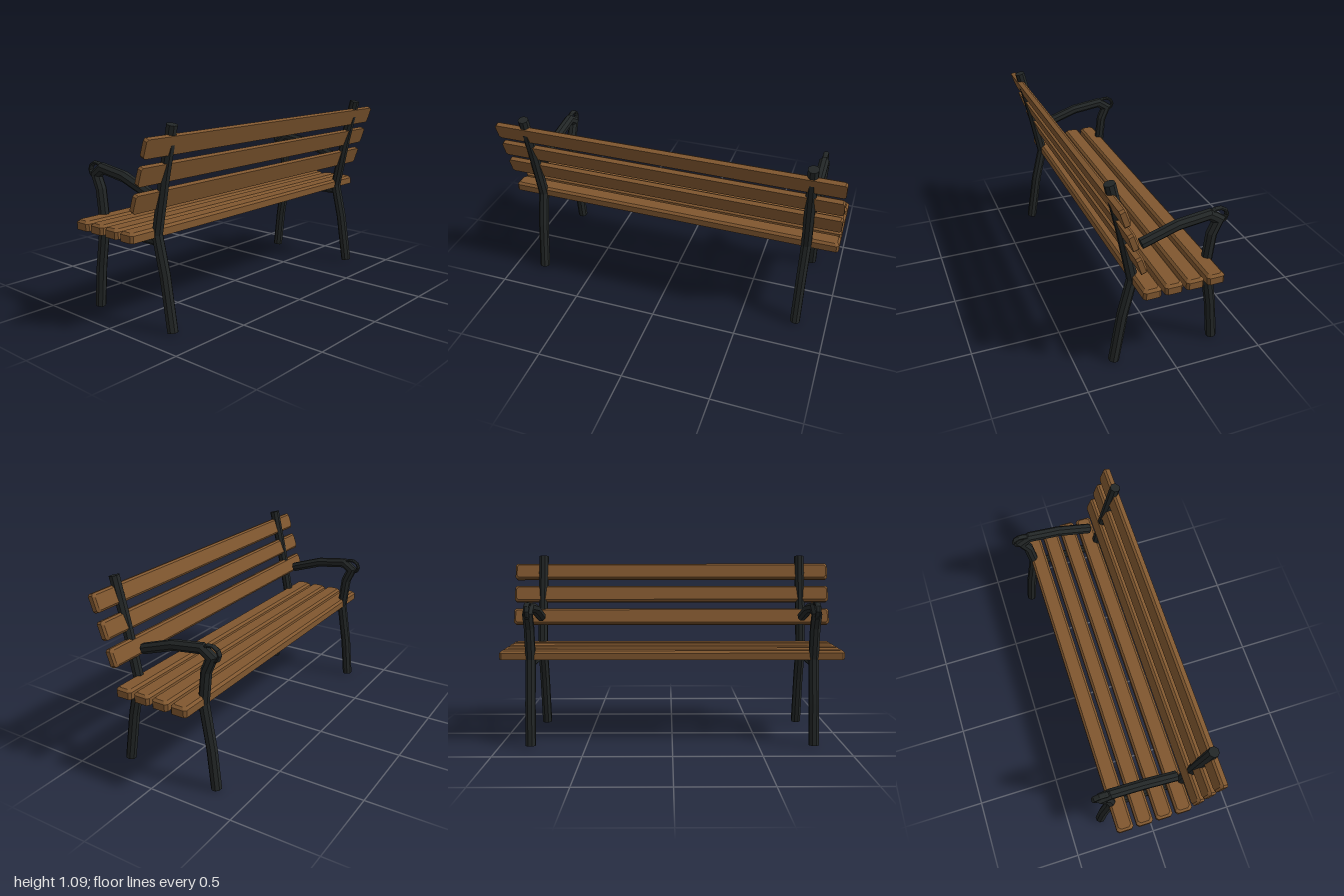
import * as THREE from 'three';

const iron = new THREE.MeshStandardMaterial({ color: 0x222626, flatShading: true });
const wood = new THREE.MeshStandardMaterial({ color: 0x80572f, flatShading: true });

// Faceted solid through equal-length rings (counter-clockwise about the direction of travel), capped
function loft(rings) {
  const pos = [];
  const tri = (...pts) => pts.forEach((p) => pos.push(p.x, p.y, p.z));
  const n = rings[0].length, last = rings[rings.length - 1];
  for (let i = 0; i < rings.length - 1; i++) {
    for (let j = 0; j < n; j++) {
      const k = (j + 1) % n, a = rings[i], b = rings[i + 1];
      tri(a[j], a[k], b[k]);
      tri(a[j], b[k], b[j]);
    }
  }
  for (let j = 1; j < n - 1; j++) {
    tri(rings[0][0], rings[0][j + 1], rings[0][j]);
    tri(last[0], last[j], last[j + 1]);
  }
  const geo = new THREE.BufferGeometry();
  geo.setAttribute('position', new THREE.Float32BufferAttribute(pos, 3));
  geo.computeVertexNormals();
  return geo;
}

// Octagonal bar with mitred joints along [z, y] points; rx across the bench, r in the side plane
function bar(path, rx = 0.028, r = rx) {
  const pts = path.map(([z, y]) => new THREE.Vector3(0, y, z));
  const X = new THREE.Vector3(1, 0, 0);
  const rings = pts.map((p, i) => {
    const before = p.clone().sub(pts[Math.max(i - 1, 0)]).normalize();
    const after = pts[Math.min(i + 1, pts.length - 1)].clone().sub(p).normalize();
    const t = before.clone().add(after).normalize();
    const miter = 1 / Math.max(t.dot(i ? before : after), 0.6);
    const v = t.clone().cross(X);
    return Array.from({ length: 8 }, (_, j) => {
      const a = ((j + 0.5) * Math.PI) / 4, s = 1 / Math.cos(Math.PI / 8);
      return p.clone().addScaledVector(X, Math.cos(a) * rx * s).addScaledVector(v, Math.sin(a) * r * s * miter);
    });
  });
  return loft(rings);
}

// Plank along x with clipped corners and a chamfered upper face, resting on local y = 0
function plank(depth, height, c = 0.013) {
  const outline = (y, inset) => {
    const x = 1 - inset, z = depth / 2 - inset;
    return [[z, -x + c], [z, x - c], [z - c, x], [-z + c, x], [-z, x - c], [-z, -x + c], [-z + c, -x], [z - c, -x]]
      .map(([pz, px]) => new THREE.Vector3(px, y, pz));
  };
  return loft([outline(0, 0), outline(height - c, 0), outline(height, c)]);
}

function add(parent, name, geometry, material) {
  const mesh = new THREE.Mesh(geometry, material);
  mesh.name = name;
  parent.add(mesh);
  return mesh;
}

export function createModel() {
  const bench = new THREE.Group();
  bench.name = 'bench';

  // Iron side frames
  for (const side of [1, -1]) {
    const frame = new THREE.Group();
    frame.name = side > 0 ? 'leftFrame' : 'rightFrame';
    frame.position.x = side * 0.82;
    bench.add(frame);
    add(frame, 'backrestLegAndPost',
      bar([[0.292, 0.009], [0.243, 0.307], [0.192, 0.515], [0.255, 0.83], [0.316, 1.088]]), iron);
    add(frame, 'seatLegAndArmrest',
      bar([[-0.296, 0.009], [-0.272, 0.246], [-0.229, 0.505], [-0.25, 0.69], [-0.285, 0.768],
        [-0.229, 0.807], [-0.05, 0.783], [0.148, 0.716]]), iron);
    add(frame, 'armrestCurl',
      bar([[-0.235, 0.815], [-0.262, 0.83], [-0.295, 0.831], [-0.322, 0.815], [-0.332, 0.79],
        [-0.322, 0.765], [-0.3, 0.753]], 0.015, 0.009), iron);
    add(frame, 'seatRail', bar([[0.195, 0.479], [-0.232, 0.479]], 0.023), iron);
  }

  // Seat slats
  [0.153, 0.036, -0.081, -0.198].forEach((z, i) => {
    add(bench, `seatSlat${i + 1}`, plank(0.098, 0.052), wood).position.set(0, 0.503, z);
  });

  // Backrest slats, leaning back with the chamfered face towards the seat
  const tilt = -1.24, thick = 0.038;
  [[0.302, 0.99], [0.258, 0.85], [0.214, 0.709]].forEach(([z, y], i) => {
    const slat = add(bench, `backrestSlat${i + 1}`, plank(0.102, thick, 0.011), wood);
    slat.rotation.x = tilt;
    slat.position.set(0, y - (Math.cos(tilt) * thick) / 2, z - (Math.sin(tilt) * thick) / 2);
  });

  return bench;
}
